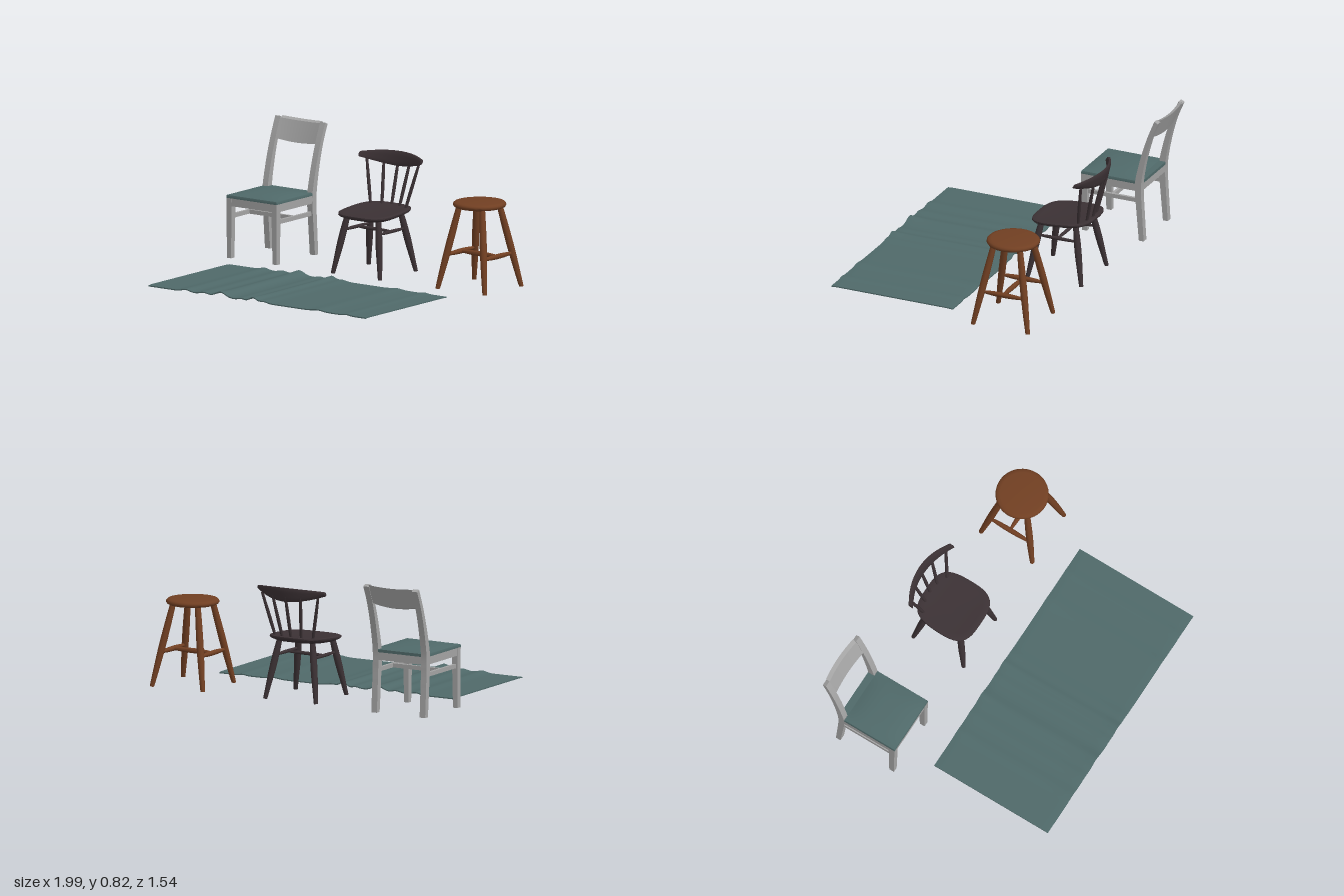
import * as THREE from 'three';
import { mergeVertices, toCreasedNormals } from 'three/addons/utils/BufferGeometryUtils.js';

const mat = (name, color) => Object.assign(new THREE.MeshStandardMaterial({ color }), { name });
const V = (x, y, z) => new THREE.Vector3(x, y, z);
const sides = [-1, 1];

export function createModel() {
  const grey = mat('paintedGrey', 0xa3a3a3);
  const teal = mat('tealCloth', 0x4f6969);
  const dark = mat('darkWood', 0x3b3134);
  const brown = mat('brownWood', 0x713f22);

  const model = new THREE.Group();
  model.name = 'seatingSet';

  const add = (group, name, geometry, material) => {
    const mesh = new THREE.Mesh(geometry, material);
    mesh.name = name;
    group.add(mesh);
    return mesh;
  };

  // Move every vertex by a rule, then rebuild normals with crisp edges
  const deform = (geometry, rule, crease = 0.7) => {
    const p = geometry.attributes.position, v = V(0, 0, 0);
    for (let i = 0; i < p.count; i++) {
      rule(v.fromBufferAttribute(p, i));
      p.setXYZ(i, v.x, v.y, v.z);
    }
    geometry.deleteAttribute('normal');
    geometry.deleteAttribute('uv');
    return toCreasedNormals(mergeVertices(geometry, 1e-5), crease);
  };

  const box = (group, name, material, w, h, d, x, y, z) =>
    add(group, name, new THREE.BoxGeometry(w, h, d).translate(x, y, z), material);

  // Turned rod between two points; radii are spaced evenly along it
  const rod = (group, name, material, a, b, radii) => {
    const len = a.distanceTo(b), n = radii.length - 1;
    const curve = new THREE.SplineCurve(radii.map((r, i) => new THREE.Vector2(r, (i / n) * len)));
    const profile = [new THREE.Vector2(0, 0), ...curve.getPoints(n * 4), new THREE.Vector2(0, len)];
    const q = new THREE.Quaternion().setFromUnitVectors(V(0, 1, 0), b.clone().sub(a).normalize());
    const geo = deform(new THREE.LatheGeometry(profile, 14), v => {
      v.applyQuaternion(q).add(a);
      v.y = Math.max(0, v.y);
    });
    add(group, name, geo, material);
  };

  // Four splayed legs joined by an H of turned stretchers
  const splayedLegs = (group, material, o) => {
    const at = (sx, sz, y) => {
      const t = y / o.height;
      return V(sx * THREE.MathUtils.lerp(o.foot[0], o.top[0], t), y,
        o.z + sz * THREE.MathUtils.lerp(o.foot[1], o.top[1], t));
    };
    for (const sx of sides) {
      for (const sz of sides)
        rod(group, sz > 0 ? 'frontLeg' : 'backLeg', material, at(sx, sz, 0), at(sx, sz, o.height), o.radii);
      rod(group, 'sideStretcher', material, at(sx, -1, o.bar), at(sx, 1, o.bar), o.barRadii);
    }
    const l = at(-1, 0, o.bar), r = at(1, 0, o.bar);
    rod(group, 'crossStretcher', material, l, r, o.barRadii);
  };

  // ---------- Upholstered grey chair ----------
  const chair = new THREE.Group();
  chair.name = 'upholsteredChair';
  chair.position.x = -0.807;
  model.add(chair);

  const stile = new THREE.Shape();
  stile.moveTo(-0.67, 0);
  stile.lineTo(-0.637, 0);
  stile.splineThru([[-0.62, 0.2], [-0.61, 0.32], [-0.613, 0.4], [-0.648, 0.55], [-0.692, 0.69], [-0.742, 0.815]]
    .map(p => new THREE.Vector2(...p)));
  stile.lineTo(-0.766, 0.803);
  stile.splineThru([[-0.72, 0.69], [-0.682, 0.55], [-0.655, 0.4], [-0.653, 0.3], [-0.658, 0.2], [-0.67, 0]]
    .map(p => new THREE.Vector2(...p)));
  const stileGeo = toCreasedNormals(new THREE.ExtrudeGeometry(stile, { depth: 0.04, bevelEnabled: false, curveSegments: 24 })
    .rotateY(-Math.PI / 2).translate(0.02, 0, 0), 0.6);

  for (const s of sides) {
    add(chair, 'backLegAndStile', stileGeo, grey).position.x = s * 0.173;
    const leg = deform(new THREE.BoxGeometry(0.04, 0.38, 0.042), v => {
      if (v.y < 0) { v.x = v.x * 0.8 + s * 0.003; v.z *= 0.8; }
      v.add(V(s * 0.173, 0.19, -0.266));
    });
    add(chair, 'frontLeg', leg, grey);
    box(chair, 'sideApron', grey, 0.025, 0.055, 0.36, s * 0.178, 0.355, -0.45);
    box(chair, 'sideStretcher', grey, 0.018, 0.026, 0.36, s * 0.173, 0.262, -0.45);
  }
  box(chair, 'crossStretcher', grey, 0.34, 0.026, 0.018, 0, 0.262, -0.45);
  box(chair, 'frontApron', grey, 0.34, 0.055, 0.025, 0, 0.355, -0.26);
  box(chair, 'backApron', grey, 0.34, 0.055, 0.025, 0, 0.355, -0.638);
  box(chair, 'seatBoard', grey, 0.35, 0.012, 0.37, 0, 0.368, -0.445);

  // Curved back rest between the stiles
  add(chair, 'backRest', deform(new THREE.BoxGeometry(0.308, 1, 0.026, 20, 6, 1), v => {
    const bow = 1 - (v.x / 0.154) ** 2, t = v.y + 0.5;
    const low = 0.69 - 0.014 * bow, high = 0.811 - 0.006 * bow;
    v.y = THREE.MathUtils.lerp(low, high, t) - v.z * 0.35;
    v.z += -0.704 - 0.05 * t - 0.013 * bow;
  }), grey);

  // Domed cushion, with a tongue between the stiles
  add(chair, 'cushion', deform(new THREE.BoxGeometry(0.386, 0.02, 0.368, 16, 2, 16), v => {
    const dome = (1 - Math.abs(v.x / 0.193) ** 3) * (1 - Math.abs(v.z / 0.184) ** 3);
    if (v.y > 0) { v.x *= 0.985; v.z *= 0.985; v.y += 0.018 * dome - 0.002; }
    v.add(V(0, 0.387, -0.428));
  }), teal);
  box(chair, 'cushionBack', teal, 0.306, 0.018, 0.046, 0, 0.386, -0.632);

  // ---------- Dark spindle-back chair ----------
  const spindleChair = new THREE.Group();
  spindleChair.name = 'spindleChair';
  spindleChair.position.x = -0.005;
  model.add(spindleChair);

  // Rounded-square saddle seat, rising to the back
  const seatProfile = [[0, -0.02], [0.8, -0.02], [0.97, -0.004], [1, 0.004], [0.995, 0.012], [0.95, 0.016],
    [0.8, 0.012], [0.5, 0.007], [0, 0.006]].map(p => new THREE.Vector2(...p));
  add(spindleChair, 'seat', deform(new THREE.LatheGeometry(seatProfile, 56), v => {
    const r = Math.hypot(v.x, v.z);
    if (r > 1e-6) {
      const c = Math.abs(v.x / r), s = Math.abs(v.z / r);
      const k = (c ** 3.4 + s ** 3.4) ** (-1 / 3.4);
      v.x *= k; v.z *= k;
    }
    v.y += 0.376 - 0.014 * v.z;
    v.x *= 0.196 * (1 + 0.05 * Math.min(0, v.z));
    v.z = v.z * 0.2 - 0.445;
  }, 0.8), dark);

  splayedLegs(spindleChair, dark, {
    z: -0.438, height: 0.368, foot: [0.182, 0.182], top: [0.118, 0.115], bar: 0.272,
    radii: [0.013, 0.017, 0.021, 0.021, 0.017], barRadii: [0.006, 0.01, 0.011, 0.01, 0.006],
  });

  // Fanned spindles
  for (let i = -2; i <= 2; i++) {
    const k = i * i / 4;
    rod(spindleChair, 'spindle', dark, V(i * 0.066, 0.38, -0.61 + 0.035 * k), V(i * 0.1, 0.665, -0.682 + 0.057 * k),
      [0.008, 0.0105, 0.01, 0.008]);
  }

  // Curved crest rail with a bellied lower edge
  add(spindleChair, 'crestRail', deform(new THREE.BoxGeometry(0.478, 1, 0.024, 36, 8, 2), v => {
    const u = Math.abs(v.x / 0.239), t = v.y + 0.5;
    const low = 0.631 + 0.043 * u ** 1.7, high = 0.72 - 0.016 * u ** 2;
    v.x *= 1 - 0.02 * (2 * t - 1) ** 2 * u;
    v.z *= 1 - 0.45 * Math.abs(2 * t - 1) ** 4;
    v.y = THREE.MathUtils.lerp(low, high, t);
    v.z += -0.671 - 0.016 * t + 0.075 * u ** 2;
  }), dark);

  // ---------- Round stool ----------
  const stool = new THREE.Group();
  stool.name = 'roundStool';
  stool.position.x = 0.797;
  model.add(stool);

  const top = [[0, 0.506], [0.145, 0.506], [0.158, 0.511], [0.164, 0.52], [0.163, 0.53], [0.155, 0.538],
    [0.135, 0.541], [0, 0.541]].map(p => new THREE.Vector2(...p));
  add(stool, 'seat', deform(new THREE.LatheGeometry(top, 48), v => { v.z -= 0.452; }, 0.9), brown);
  splayedLegs(stool, brown, {
    z: -0.45, height: 0.515, foot: [0.182, 0.186], top: [0.088, 0.088], bar: 0.212,
    radii: [0.014, 0.019, 0.022, 0.021, 0.018], barRadii: [0.008, 0.014, 0.016, 0.014, 0.008],
  });

  // ---------- Rumpled rug ----------
  // Each fold: position, height, half width
  const folds = [[-0.56, 0.012, 0.04], [-0.42, 0.011, 0.04], [-0.29, 0.028, 0.05], [-0.13, 0.008, 0.03],
    [-0.04, 0.024, 0.035], [0.04, 0.009, 0.04], [0.46, 0.008, 0.05], [0.68, 0.006, 0.03]];
  add(model, 'rug', deform(new THREE.BoxGeometry(1.675, 0.007, 0.825, 130, 1, 30), v => {
    const e = Math.abs(v.z / 0.4125);
    const strength = 0.6 + 0.4 * e ** 6;
    let lift = 0;
    for (const [x, h, w] of folds) lift += h * Math.exp(-(((v.x - x - 0.02 * v.z) / w) ** 2));
    v.y += 0.009 + lift * strength - 0.003 * e ** 30;
    v.x += 0.003;
    v.z += 0.352;
  }, 0.9), teal);

  return model;
}
